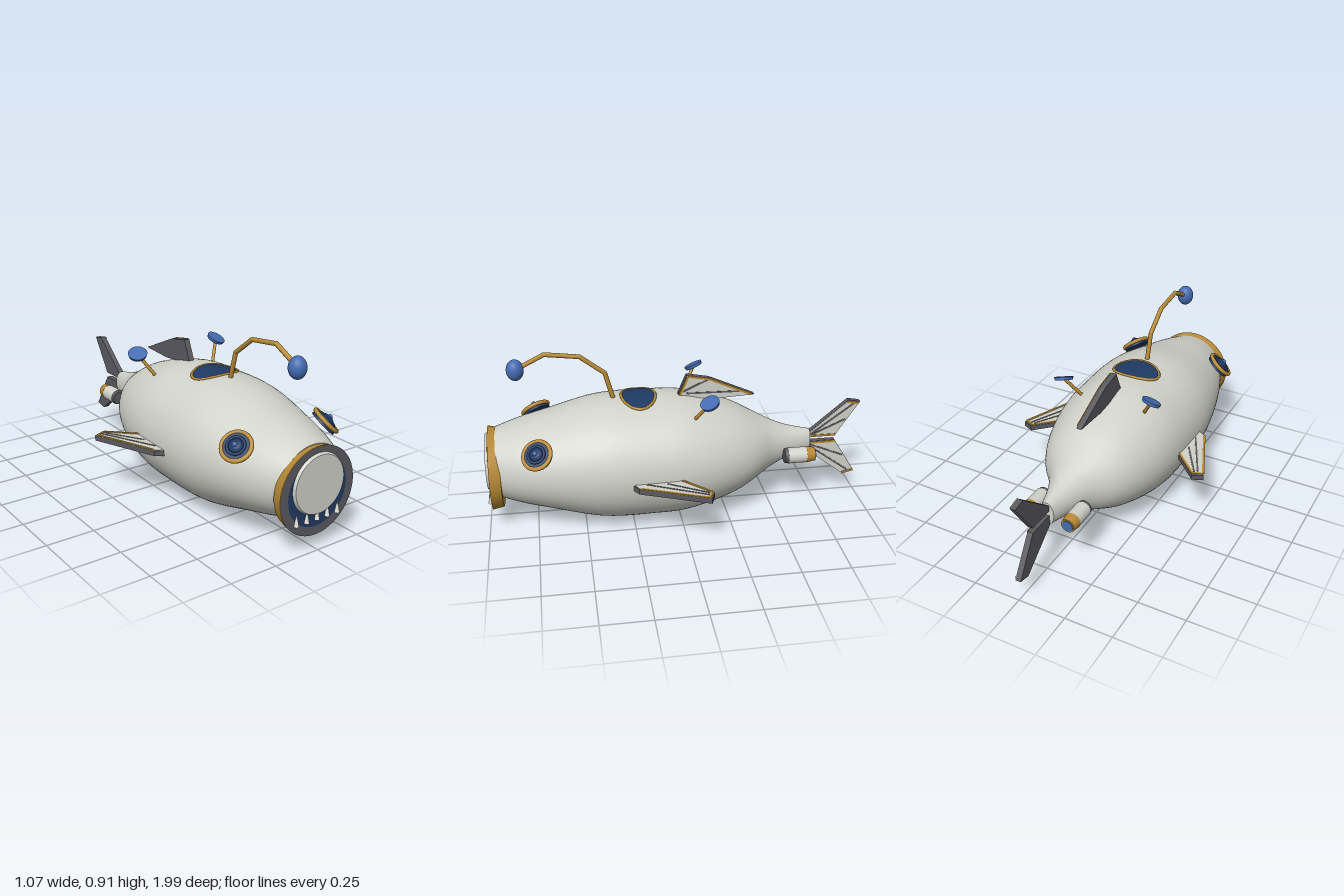
import * as THREE from 'three';

const mat = (name, color, side = THREE.FrontSide) => {
  const m = new THREE.MeshStandardMaterial({ color, side });
  m.name = name;
  return m;
};

export function createModel() {
  const root = new THREE.Group();
  root.name = 'fishSubmarine';
  const pale = mat('paleHull', 0xd0d2c9);
  const gold = mat('brass', 0xb88a35);
  const navy = mat('navyGlass', 0x1f3a64, THREE.DoubleSide);
  const blue = mat('blueLamp', 0x456cb2);
  const gray = mat('darkMetal', 0x5a5a61);
  const ivory = mat('ivoryTeeth', 0xe4e3da);
  const V = (x, y, z) => new THREE.Vector3(x, y, z);
  const Y = V(0, 1, 0), Z = V(0, 0, 1);

  const add = (name, geo, m, parent = root, pos = null) => {
    const mesh = new THREE.Mesh(geo, m);
    mesh.name = name;
    if (pos) mesh.position.copy(pos);
    parent.add(mesh);
    return mesh;
  };
  // straight round bar between two points
  const rod = (name, a, b, r, m, parent = root) => {
    const d = b.clone().sub(a);
    const mesh = add(name, new THREE.CylinderGeometry(r, r, d.length(), 10), m, parent, a.clone().lerp(b, 0.5));
    mesh.quaternion.setFromUnitVectors(Y, d.normalize());
    return mesh;
  };

  // Hull: a cylinder whose rings follow (half width, half height, z)
  const CY = 0.325;
  const hullCurve = new THREE.CatmullRomCurve3([
    V(0.19, 0.18, 0.94), V(0.245, 0.217, 0.82), V(0.3, 0.258, 0.65), V(0.342, 0.31, 0.45), V(0.354, 0.324, 0.33),
    V(0.354, 0.324, 0.15), V(0.346, 0.321, 0), V(0.32, 0.288, -0.15), V(0.267, 0.238, -0.3), V(0.21, 0.185, -0.4),
    V(0.127, 0.133, -0.5), V(0.078, 0.092, -0.6), V(0.038, 0.063, -0.725),
  ]);
  const hull = new THREE.CylinderGeometry(1, 1, 1, 64, 48);
  const hp = hull.attributes.position;
  for (let i = 0; i < hp.count; i++) {
    const p = hullCurve.getPoint(0.5 - hp.getY(i));
    hp.setXYZ(i, hp.getX(i) * p.x, CY - hp.getZ(i) * p.y, p.z);
  }
  hull.computeVertexNormals();
  add('hull', hull, pale);

  // Mouth: brass collar, dark face, glass, round lid and teeth
  const mouth = new THREE.Group();
  mouth.name = 'mouth';
  mouth.position.set(0, 0.29, 0);
  root.add(mouth);
  add('collar', new THREE.CylinderGeometry(0.219, 0.207, 0.057, 64).rotateX(Math.PI / 2), gold, mouth, V(0, 0, 0.9485));
  add('collarFace', new THREE.RingGeometry(0.174, 0.219, 64), gray, mouth, V(0, 0, 0.98));
  add('mouthGlass', new THREE.CircleGeometry(0.175, 64), navy, mouth, V(0, 0, 0.979));
  add('mouthLid', new THREE.CylinderGeometry(0.144, 0.151, 0.014, 64).rotateX(Math.PI / 2), pale, mouth, V(0, 0.038, 0.988));
  for (let i = -2; i <= 2; i++) {
    add('tooth', new THREE.ConeGeometry(0.013, 0.065, 10), ivory, mouth, V(i * 0.062, -0.108, 0.985));
  }

  // Top window: curved plate and brass rim that follow the hull
  const roofY = (x) => CY + 0.324 * Math.sqrt(1 - (x / 0.354) ** 2);
  const plate = new THREE.RingGeometry(0, 1, 48, 8).rotateX(-Math.PI / 2);
  const pp = plate.attributes.position;
  for (let i = 0; i < pp.count; i++) {
    const x = pp.getX(i) * 0.125;
    pp.setXYZ(i, x, roofY(x) + 0.006, 0.2 + pp.getZ(i) * 0.085);
  }
  plate.computeVertexNormals();
  add('topWindow', plate, navy);
  const rimPts = [];
  for (let i = 0; i < 40; i++) {
    const a = (i / 40) * Math.PI * 2, x = 0.128 * Math.cos(a);
    rimPts.push(V(x, roofY(x) + 0.003, 0.2 + 0.088 * Math.sin(a)));
  }
  add('topWindowRim', new THREE.TubeGeometry(new THREE.CatmullRomCurve3(rimPts, true), 80, 0.007, 8, true), gold);

  // Lure: jointed brass arm with a glowing bulb
  const arm = [[0.63, 0.325], [0.785, 0.367], [0.88, 0.49], [0.902, 0.665], [0.835, 0.8]].map(([y, z]) => V(0, y, z));
  for (let i = 0; i < arm.length - 1; i++) {
    rod('lureArm', arm[i], arm[i + 1], 0.012, gold);
    if (i) add('lureJoint', new THREE.SphereGeometry(0.012, 10, 8), gold, root, arm[i]);
  }
  add('lureBulb', new THREE.SphereGeometry(1, 32, 20).scale(0.044, 0.055, 0.044), blue, root, V(0, 0.828, 0.812));

  // Flat fin: dark slab with a pale panel, brass edging and ribs on one face
  const T = 0.028;
  const fin = (name, pts, goldEdges, ribs) => {
    const g = new THREE.Group();
    g.name = name;
    const cx = pts.reduce((s, p) => s + p[0], 0) / pts.length;
    const cy = pts.reduce((s, p) => s + p[1], 0) / pts.length;
    const shrink = (k) => pts.map(([x, y]) => new THREE.Vector2(cx + (x - cx) * k, cy + (y - cy) * k));
    const slab = (k, depth, z) =>
      new THREE.ExtrudeGeometry(new THREE.Shape(shrink(k)), { depth, bevelEnabled: false }).translate(0, 0, z);
    add('finSlab', slab(1, T, -T / 2), gray, g);
    add('finPanel', slab(0.97, 0.003, -T / 2 - 0.003), pale, g);
    const strip = (label, a, b, w, m, z) => {
      const s = add(label, new THREE.BoxGeometry(a.distanceTo(b), w, 0.004), m, g, V((a.x + b.x) / 2, (a.y + b.y) / 2, z));
      s.rotation.z = Math.atan2(b.y - a.y, b.x - a.x);
    };
    const inner = shrink(0.93);
    goldEdges.forEach((i) => strip('finTrim', inner[i], inner[(i + 1) % pts.length], 0.012, gold, -T / 2 - 0.004));
    ribs.forEach(([a, b, c, d]) =>
      strip('finRib', new THREE.Vector2(a, b), new THREE.Vector2(c, d), 0.009, gray, -T / 2 - 0.003));
    root.add(g);
    return g;
  };

  // Upright fins, drawn as (z, y)
  fin('dorsalFin', [[0, 0.63], [-0.05, 0.75], [-0.17, 0.727], [-0.41, 0.62], [-0.22, 0.61]], [0, 1, 2],
    [[-0.03, 0.66, -0.16, 0.72], [-0.05, 0.65, -0.33, 0.645]]).rotation.y = -Math.PI / 2;
  fin('upperTailFin', [[-0.7, 0.345], [-0.72, 0.37], [-0.93, 0.55], [-0.995, 0.538], [-0.87, 0.345]], [2, 4],
    [[-0.73, 0.36, -0.96, 0.53], [-0.73, 0.355, -0.92, 0.44]]).rotation.y = -Math.PI / 2;
  fin('lowerTailFin', [[-0.7, 0.317], [-0.72, 0.265], [-0.93, 0.1], [-0.995, 0.115], [-0.87, 0.317]], [2, 4],
    [[-0.73, 0.29, -0.96, 0.12], [-0.73, 0.3, -0.92, 0.22]]).rotation.y = -Math.PI / 2;

  for (const s of [1, -1]) {
    const side = s > 0 ? 'left' : 'right';

    // Side fins, drawn as (x, z)
    const f = fin(side + 'SideFin',
      [[0.33, 0.03], [0.48, -0.118], [0.535, -0.095], [0.395, 0.245], [0.34, 0.275]].map(([x, z]) => [s * x, z]),
      [0, 1, 2], [[0.36, 0.2, 0.5, -0.09], [0.365, 0.1, 0.48, -0.09]].map(([a, b, c, d]) => [s * a, b, s * c, d]));
    f.rotation.x = Math.PI / 2;
    f.position.y = 0.308;

    // Porthole eye
    const eye = new THREE.Group();
    eye.name = side + 'Eye';
    eye.position.set(s * 0.272, 0.487, 0.73);
    eye.quaternion.setFromUnitVectors(Z, V(s * 0.62, 0.7, 0.35).normalize());
    root.add(eye);
    add('eyeRim', new THREE.TorusGeometry(0.071, 0.011, 10, 40), gold, eye);
    add('eyeBase', new THREE.CylinderGeometry(0.068, 0.072, 0.03, 40).rotateX(Math.PI / 2), navy, eye, V(0, 0, -0.008));
    add('eyeRing', new THREE.TorusGeometry(0.042, 0.007, 8, 32), navy, eye, V(0, 0, 0.01));
    add('eyeLens', new THREE.SphereGeometry(0.036, 24, 12).scale(1, 1, 0.6), navy, eye, V(0, 0, 0.008));
    add('pupil', new THREE.SphereGeometry(0.013, 16, 10), blue, eye, V(0, 0, 0.026));

    // Dish on a slanted post
    const top = V(s * 0.25, 0.693, -0.13);
    rod(side + 'DishPost', V(s * 0.185, 0.585, -0.07), top, 0.009, gold);
    const dish = add(side + 'Dish', new THREE.CylinderGeometry(0.05, 0.046, 0.016, 32), blue, root, top);
    dish.quaternion.setFromUnitVectors(Y, V(s * 0.25, 0.88, 0.38).normalize());

    // Thruster pod
    const pod = new THREE.Group();
    pod.name = side + 'Thruster';
    pod.position.set(s * 0.114, 0.294, 0);
    root.add(pod);
    const drum = (name, rFront, rBack, z0, z1, m) =>
      add(name, new THREE.CylinderGeometry(rFront, rBack, z0 - z1, 28).rotateX(Math.PI / 2), m, pod, V(0, 0, (z0 + z1) / 2));
    drum('podIntake', 0.037, 0.041, -0.562, -0.585, gray);
    drum('podBody', 0.042, 0.042, -0.58, -0.685, pale);
    drum('podBand', 0.043, 0.036, -0.68, -0.727, gold);
    drum('podNozzle', 0.03, 0.028, -0.72, -0.731, blue);
  }
  return root;
}
